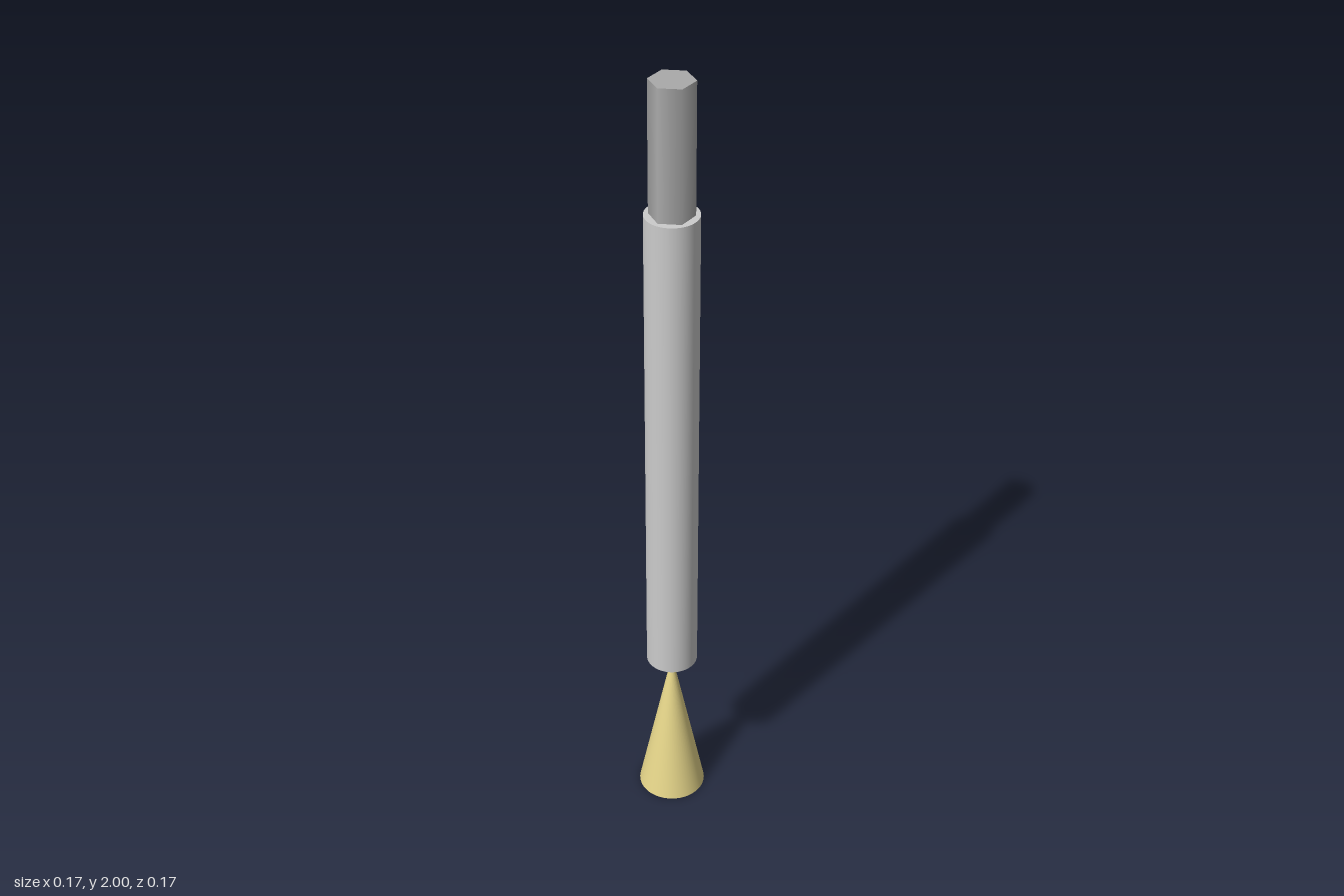
import * as THREE from 'three';

export function createModel() {
  const group = new THREE.Group();

  // Adds a vertical round or prismatic part standing between two heights
  function addPart(name, geometry, bottom, top, color) {
    const mesh = new THREE.Mesh(geometry, new THREE.MeshStandardMaterial({ color }));
    mesh.name = name;
    mesh.position.y = (bottom + top) / 2;
    group.add(mesh);
    return mesh;
  }

  const tipTop = 0.421, bodyTop = 1.684, top = 2;

  // Cone whose apex touches the underside of the body
  addPart('coneTip', new THREE.ConeGeometry(0.0842, tipTop, 64), 0, tipTop, 0xe6d68a);

  // Long round body
  addPart('body', new THREE.CylinderGeometry(0.0632, 0.0632, bodyTop - tipTop, 64), tipTop, bodyTop, 0xcccccc);

  // Six-sided shank with corners on the x axis, softly shaded round the sides
  const shank = addPart('hexShank', new THREE.CylinderGeometry(0.0526, 0.0526, top - bodyTop, 6), bodyTop, top, 0xaaaaaa);
  shank.rotation.y = Math.PI / 6;

  return group;
}
